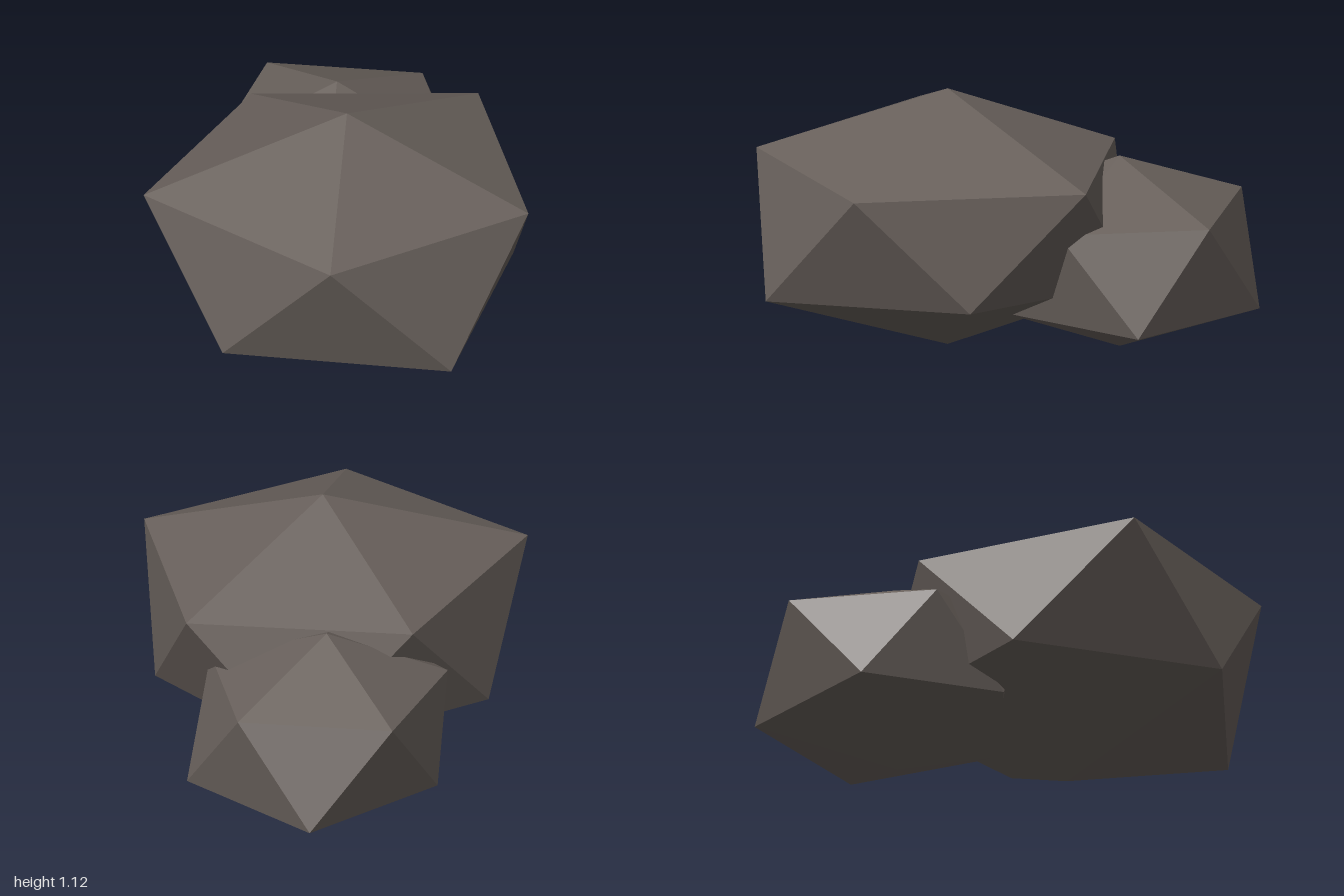
import * as THREE from 'three';

// Irregular icosahedral boulder: two staggered rings of five between a top and a bottom point.
// Each ring corner is pushed out from the centre; y follows its radius.
function boulderGeometry(halfHeight, slope, upperRadii, lowerRadii) {
  const ring = (radii, offset, sign) => radii.map((r, i) => {
    const a = (i * 72 + offset) * Math.PI / 180;
    return [r * Math.cos(a), halfHeight + sign * slope * r, r * Math.sin(a)];
  });
  const upper = ring(upperRadii, 0, 1);
  const lower = ring(lowerRadii, 36, -1);
  const top = [0, halfHeight * 2, 0];
  const bottom = [0, 0, 0];
  const corners = [];
  for (let i = 0; i < 5; i++) {
    const j = (i + 1) % 5;
    corners.push(
      top, upper[j], upper[i],
      upper[i], upper[j], lower[i],
      lower[i], upper[j], lower[j],
      lower[i], lower[j], bottom
    );
  }
  const geometry = new THREE.BufferGeometry();
  geometry.setAttribute('position', new THREE.Float32BufferAttribute(corners.flat(), 3));
  geometry.computeVertexNormals();
  return geometry;
}

export function createModel() {
  const group = new THREE.Group();
  group.name = 'rocks';

  const stone = new THREE.MeshStandardMaterial({ color: 0x68605b, flatShading: true });
  stone.name = 'stone';

  function addBoulder(name, x, z, ...shape) {
    const mesh = new THREE.Mesh(boulderGeometry(...shape), stone);
    mesh.name = name;
    mesh.position.set(x, 0, z);
    group.add(mesh);
  }

  // Main boulder in front
  addBoulder('largeBoulder', 0, 0.22, 0.56, 0.317,
    [0.83, 0.82, 0.88, 0.78, 0.845], [0.85, 0.80, 0.77, 0.79, 0.72]);

  // Smaller boulder leaning into its back
  addBoulder('smallBoulder', -0.32, -0.43, 0.417, 0.37,
    [0.54, 0.55, 0.52, 0.57, 0.55], [0.55, 0.55, 0.515, 0.60, 0.60]);

  return group;
}
